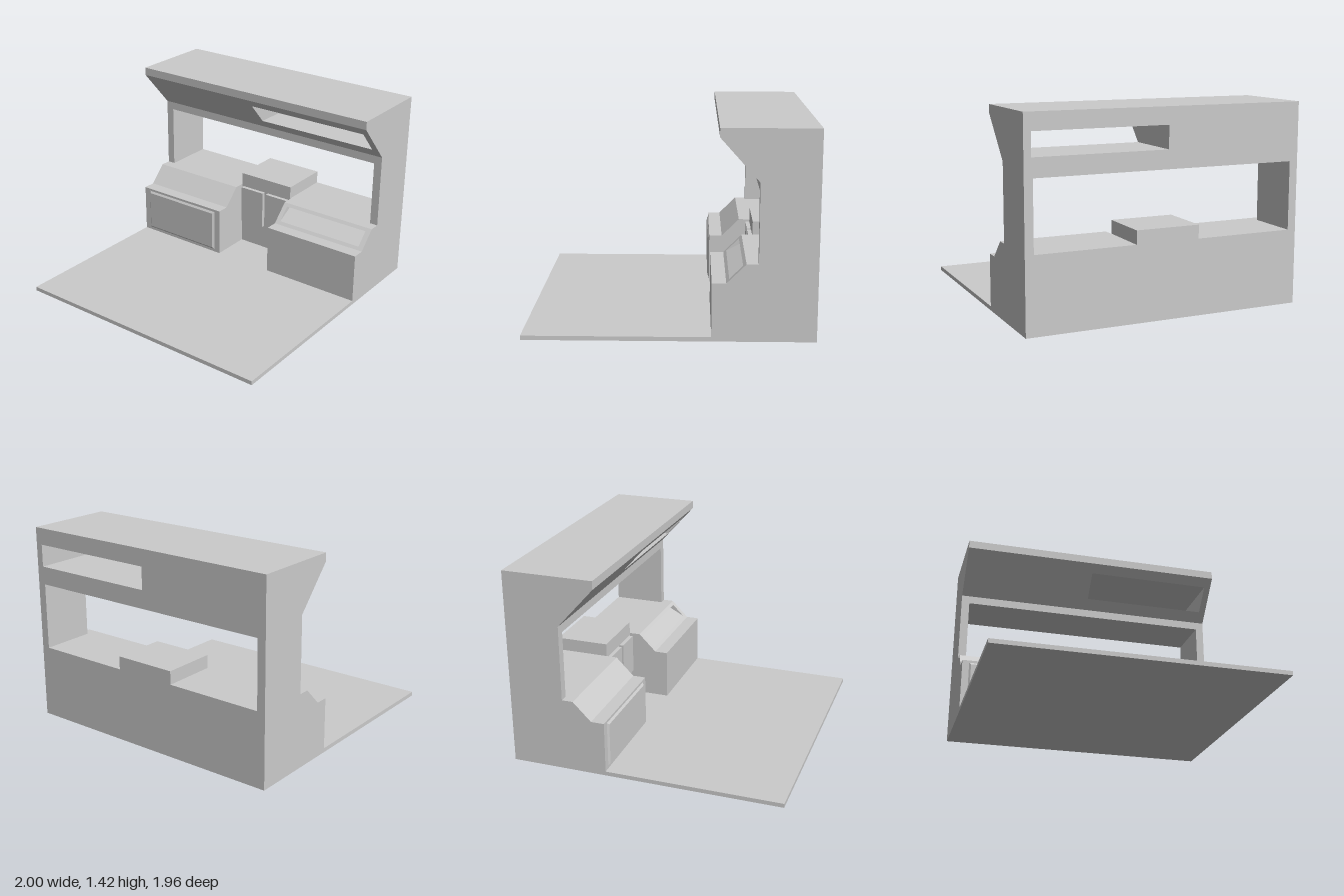
import * as THREE from 'three';

const material = new THREE.MeshStandardMaterial({ color: 0xcccccc, flatShading: true });

export function createModel() {
  const model = new THREE.Group();

  const add = (name, geometry, parent = model) => {
    const mesh = new THREE.Mesh(geometry, material);
    mesh.name = name;
    parent.add(mesh);
    return mesh;
  };

  const group = (name) => {
    const g = new THREE.Group();
    g.name = name;
    model.add(g);
    return g;
  };

  // Box given by its limits on each axis
  const box = (name, [x0, x1], [y0, y1], [z0, z1], parent) =>
    add(name, new THREE.BoxGeometry(x1 - x0, y1 - y0, z1 - z0)
      .translate((x0 + x1) / 2, (y0 + y1) / 2, (z0 + z1) / 2), parent);

  // Side profile of [z, y] points swept along x
  const sweep = (name, profile, [x0, x1], parent) => {
    const shape = new THREE.Shape(profile.map(([z, y]) => new THREE.Vector2(-z, y)));
    const geometry = new THREE.ExtrudeGeometry(shape, { depth: x1 - x0, bevelEnabled: false });
    return add(name, geometry.rotateY(Math.PI / 2).translate(x0, 0, 0), parent);
  };

  const back = -0.98, wall = -0.59, floorTop = 0.03, counter = 0.53;

  // Floor slab and lower wall
  box('floor', [-1, 1], [0, floorTop], [back, 0.98]);
  box('lowerWall', [-1, 1], [floorTop, counter], [back, wall]);

  // Posts beside the wide opening
  box('rightPost', [-1, -0.94], [counter, 1.01], [back, wall]);
  box('leftPost', [0.94, 1], [counter, 1.01], [back, wall]);

  // Overhanging header, split around the slot that runs through it
  const header = group('header');
  const slope = (y) => wall + (y - 1.07) * (0.26 / 0.29);
  const slotLow = 1.14, slotHigh = 1.3;
  const headerProfile = [[back, 1.01], [wall, 1.01], [wall, 1.07], [-0.33, 1.36], [-0.33, 1.42], [back, 1.42]];
  sweep('headerSolidHalf', headerProfile, [-1, 0], header);
  sweep('headerEnd', headerProfile, [0.95, 1], header);
  sweep('slotSill',
    [[back, 1.01], [wall, 1.01], [wall, 1.07], [slope(slotLow), slotLow], [back, slotLow]], [0, 0.95], header);
  sweep('slotLintel',
    [[back, slotHigh], [slope(slotHigh), slotHigh], [-0.33, 1.36], [-0.33, 1.42], [back, 1.42]], [0, 0.95], header);

  // Centre block with two raised doors
  const centre = group('centreUnit');
  box('centreTop', [-0.23, 0.23], [counter, 0.625], [back, wall], centre);
  box('rightDoor', [-0.215, -0.01], [0.22, 0.515], [wall, -0.56], centre);
  box('leftDoor', [0.02, 0.215], [0.22, 0.515], [wall, -0.56], centre);

  // Cabinets with sloped consoles
  const bottom = [[wall, floorTop], [-0.285, floorTop], [-0.285, 0.4], [-0.38, 0.4]];
  const top = [[-0.51, counter], [wall, counter]];
  const notch = [[-0.4, 0.42], [-0.54, 0.495], [-0.49, 0.51]];

  const rightCabinet = group('rightCabinet');
  sweep('rightCabinetBody', [...bottom, ...top], [-1, -0.23], rightCabinet);

  const leftCabinet = group('leftCabinet');
  sweep('consoleInnerEnd', [...bottom, ...top], [0.235, 0.27], leftCabinet);
  sweep('consoleWithRecess', [...bottom, ...notch, ...top], [0.27, 0.96], leftCabinet);
  sweep('consoleOuterEnd', [...bottom, ...top], [0.96, 1], leftCabinet);

  // Front panel with chamfered edges: the front corners are drawn inward
  const panel = new THREE.BoxGeometry(0.67, 0.33, 0.012);
  const p = panel.attributes.position;
  for (let i = 0; i < p.count; i++) {
    if (p.getZ(i) > 0) {
      p.setX(i, p.getX(i) - Math.sign(p.getX(i)) * 0.013);
      p.setY(i, p.getY(i) - Math.sign(p.getY(i)) * 0.015);
    }
  }
  panel.computeVertexNormals();
  add('frontPanel', panel.translate(-0.615, 0.217, -0.279), rightCabinet);

  return model;
}
